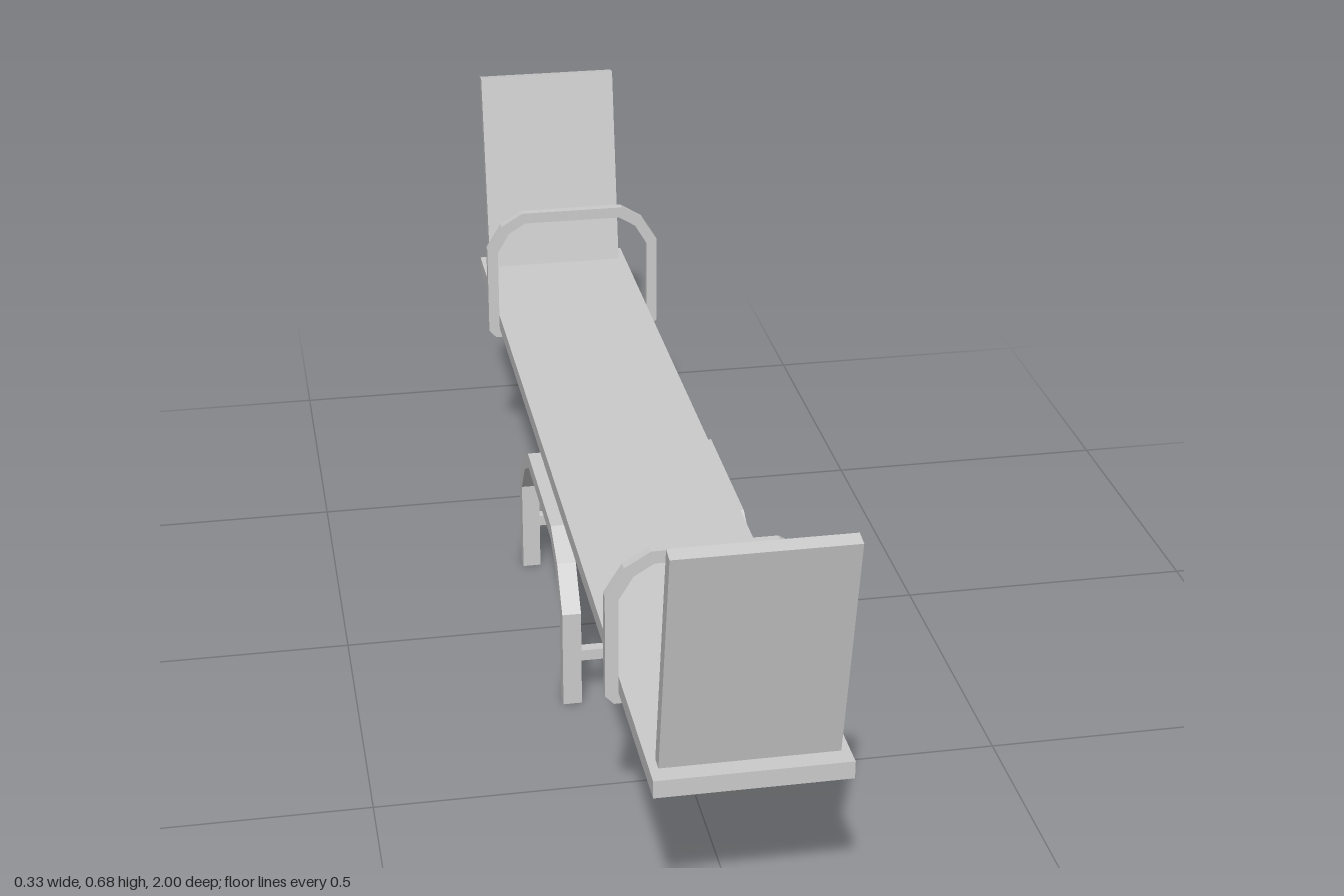
import * as THREE from 'three';

const material = new THREE.MeshStandardMaterial({ color: 0xcccccc, flatShading: true });

// Half outline (x >= 0) mirrored to a full ring of points
const mirrored = half => [...half, ...half.slice().reverse().map(([x, y]) => [-x, y])]
  .map(([x, y]) => new THREE.Vector2(x, y));

// Flat extrusion of a shape, centred on its depth
function extrude(shape, depth) {
  return new THREE.ExtrudeGeometry(shape, { depth, bevelEnabled: false }).translate(0, 0, -depth / 2);
}

export function createModel() {
  const group = new THREE.Group();
  const add = (name, geometry, x = 0, y = 0, z = 0) => {
    const mesh = new THREE.Mesh(geometry, material);
    mesh.name = name;
    mesh.position.set(x, y, z);
    group.add(mesh);
    return mesh;
  };
  const box = (name, w, h, d, x, y, z) => add(name, new THREE.BoxGeometry(w, h, d), x, y, z);

  // Plank
  box('plank', 0.286, 0.028, 1.92, 0, 0.294, 0);

  // Leaning backrests: side profile in (z, y), extruded across the width
  const backProfile = new THREE.Shape([[0.905, 0.304], [0.929, 0.304], [1.0, 0.674], [0.976, 0.678]]
    .map(([z, y]) => new THREE.Vector2(z, y)));
  for (const side of [1, -1]) {
    const back = add(side > 0 ? 'frontBackrest' : 'rearBackrest', extrude(backProfile, 0.26));
    back.rotation.y = -side * Math.PI / 2;
  }

  // Handle hoops wrapped around the plank
  const hoop = new THREE.Shape(mirrored([[0.15, 0.262], [0.163, 0.276], [0.163, 0.443], [0.135, 0.488], [0.095, 0.512]]));
  hoop.holes.push(new THREE.Path(mirrored([[0.138, 0.28], [0.143, 0.285], [0.143, 0.436], [0.121, 0.473], [0.09, 0.492]])));
  const hoopGeometry = extrude(hoop, 0.016);
  add('frontHandle', hoopGeometry, 0, 0, 0.673);
  add('rearHandle', hoopGeometry, 0, 0, -0.673);

  // Arched legs: outer outline, then back along the inner one
  const outer = mirrored([[0.254, 0], [0.254, 0.17], [0.203, 0.238], [0.136, 0.273]]);
  const inner = mirrored([[0.226, 0], [0.226, 0.162], [0.184, 0.218], [0.13, 0.248]]);
  const legGeometry = extrude(new THREE.Shape([...outer, ...inner.reverse()]), 0.031).rotateY(Math.PI / 2);
  add('leftLegs', legGeometry, 0.1475, 0, 0);
  add('rightLegs', legGeometry, -0.1475, 0, 0);

  // Cross braces and pivot bar between the arches
  for (const side of [1, -1]) box('crossBrace', 0.266, 0.019, 0.019, 0, 0.088, side * 0.24);
  box('pivotBar', 0.266, 0.028, 0.03, 0, 0.267, 0);

  return group;
}
